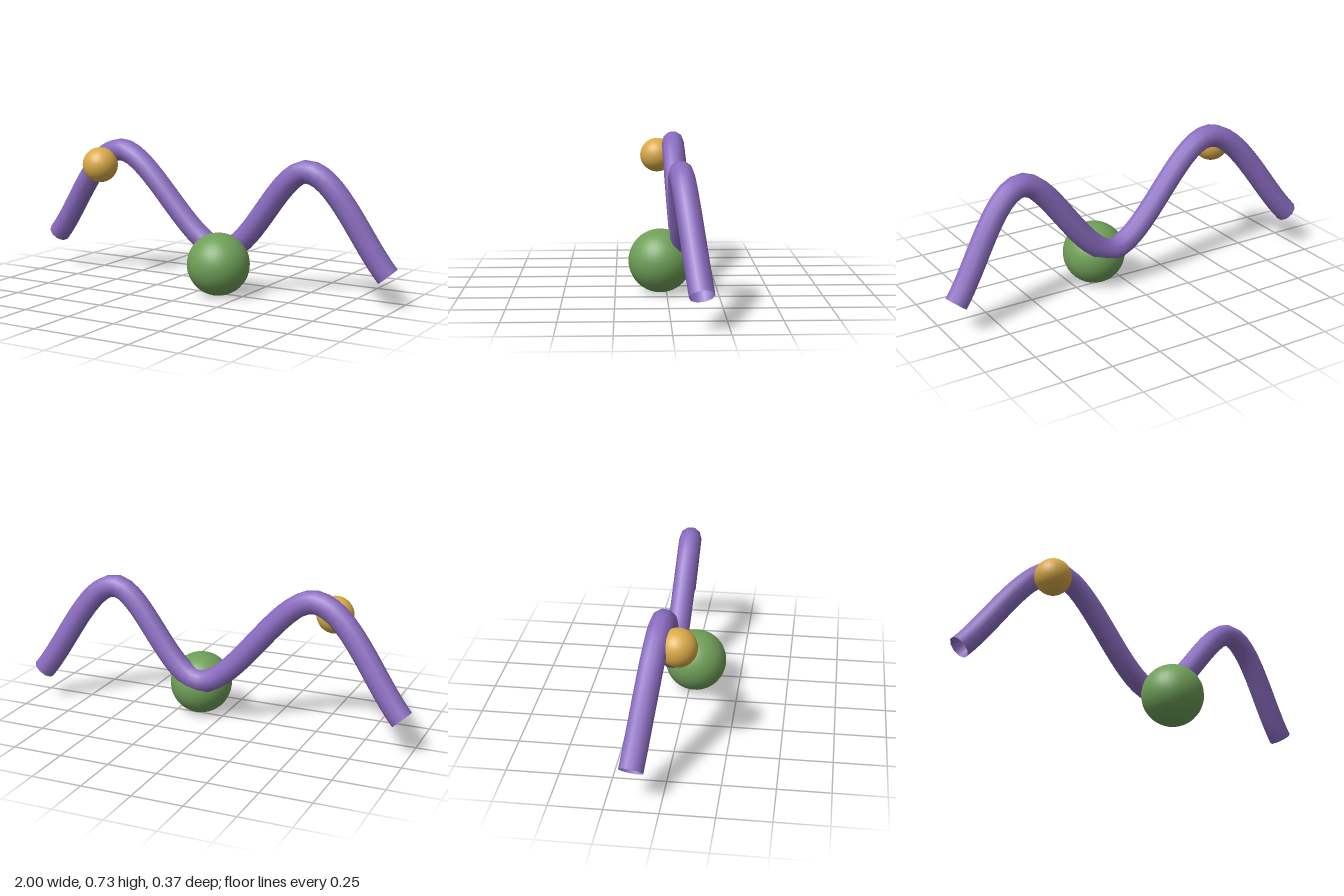
import * as THREE from 'three';

const paint = (name, color, side = THREE.FrontSide) => {
  const material = new THREE.MeshStandardMaterial({ color, side });
  material.name = name;
  return material;
};

export function createModel() {
  const model = new THREE.Group();
  model.name = 'wavyTubeWithBalls';

  const add = (name, geometry, material, x = 0, y = 0, z = 0) => {
    const mesh = new THREE.Mesh(geometry, material);
    mesh.name = name;
    mesh.position.set(x, y, z);
    model.add(mesh);
  };

  // Open-ended tube: two humps with a dip between them
  const path = new THREE.CatmullRomCurve3([
    new THREE.Vector3(-0.96, 0.185, -0.128),
    new THREE.Vector3(-0.5, 0.675, -0.053),
    new THREE.Vector3(0.09, 0.205, -0.078),
    new THREE.Vector3(0.57, 0.634, -0.053),
    new THREE.Vector3(0.955, 0.158, -0.126),
  ]);
  add('wavyTube', new THREE.TubeGeometry(path, 64, 0.057, 10, false),
    paint('purple', 0x8a6cc0, THREE.DoubleSide));

  // Large ball in the dip, small ball beside the right hump
  add('largeBall', new THREE.SphereGeometry(0.155, 32, 24), paint('green', 0x6f9f58), 0.13, 0.156, 0.03);
  add('smallBall', new THREE.SphereGeometry(0.09, 32, 24), paint('gold', 0xd9aa48), -0.57, 0.6, 0.03);

  return model;
}
